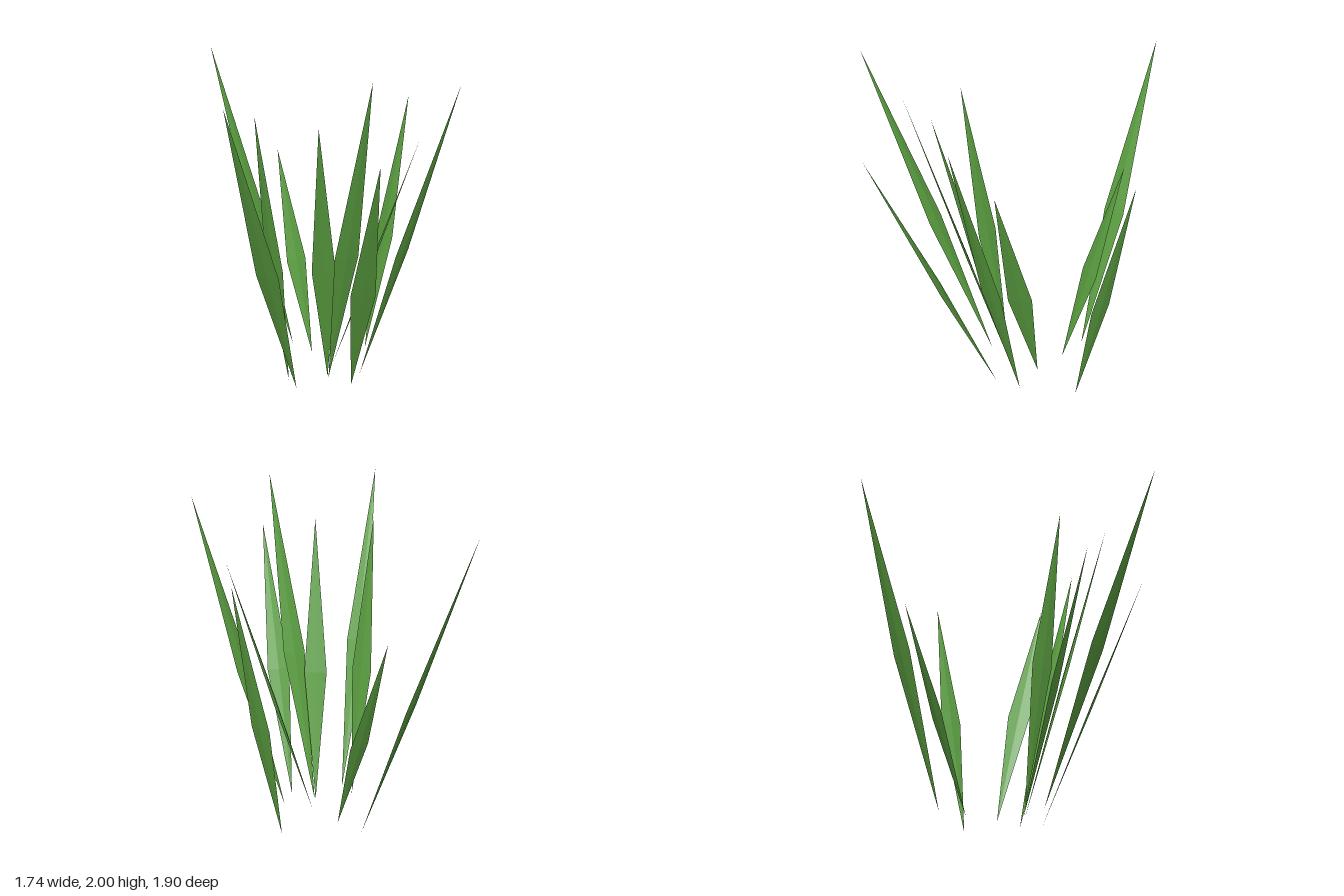
import * as THREE from 'three';

const THICKNESS = 0.007; // half thickness at the ridge
const WIDEST = 0.46; // fraction of the length where a blade is widest

// Base (x, z), tip (x, y, z) and half-width direction (x, z) of each blade
const BLADES = [
  { name: 'backLongBlade', base: [0.165, -0.30], tip: [-0.01, 1.91, -0.95], side: [0.066, -0.02] },
  { name: 'backShortBlade', base: [0.19, -0.12], tip: [0.22, 1.28, -0.54], side: [0.07, 0.005] },
  { name: 'leftBlade', base: [0.515, 0.03], tip: [0.87, 1.64, -0.03], side: [0.006, 0.07] },
  { name: 'rightShortBlade', base: [-0.14, 0.08], tip: [-0.43, 1.76, 0.18], side: [0.012, 0.07] },
  { name: 'rightLongBlade', base: [-0.16, 0.19], tip: [-0.87, 1.95, 0.58], side: [0.034, 0.06] },
  { name: 'frontRightBlade', base: [0.08, 0.19], tip: [-0.24, 1.73, 0.50], side: [0.05, 0.05] },
  { name: 'frontLowBlade', base: [0.135, 0.355], tip: [-0.20, 1.63, 0.955], side: [0.063, 0.035] },
  { name: 'frontTallBlade', base: [0.08, 0.20], tip: [-0.09, 2.0, 0.75], side: [0.07, 0.02] },
  { name: 'frontLeftInnerBlade', base: [0.20, 0.085], tip: [0.44, 1.57, 0.55], side: [0.05, -0.05] },
  { name: 'frontLeftOuterBlade', base: [0.27, 0.275], tip: [0.46, 1.93, 0.825], side: [0.065, -0.02] },
];

// A blade is an octahedron stretched into a flat, ridged diamond
function bladeGeometry({ base, tip, side }) {
  const foot = new THREE.Vector3(base[0], 0, base[1]);
  const end = new THREE.Vector3(...tip);
  const axis = end.clone().sub(foot);
  const across = new THREE.Vector3(side[0], 0, side[1]);
  across.y = -across.dot(axis) / axis.y; // keep the width square to the length
  const ridge = across.clone().cross(axis).setLength(THICKNESS);

  const geometry = new THREE.OctahedronGeometry(1);
  const pos = geometry.attributes.position;
  const v = new THREE.Vector3();
  for (let i = 0; i < pos.count; i++) {
    v.fromBufferAttribute(pos, i);
    const along = v.y > 0.5 ? 1 : v.y < -0.5 ? 0 : WIDEST;
    const p = foot.clone().addScaledVector(axis, along)
      .addScaledVector(across, v.x).addScaledVector(ridge, v.z);
    pos.setXYZ(i, p.x, p.y, p.z);
  }
  geometry.computeVertexNormals();
  return geometry;
}

export function createModel() {
  const group = new THREE.Group();
  group.name = 'grassTuft';
  const green = new THREE.MeshStandardMaterial({ color: 0x5a9e40 });
  green.name = 'leaf green';
  green.flatShading = true;

  for (const blade of BLADES) {
    const mesh = new THREE.Mesh(bladeGeometry(blade), green);
    mesh.name = blade.name;
    group.add(mesh);
  }
  return group;
}
